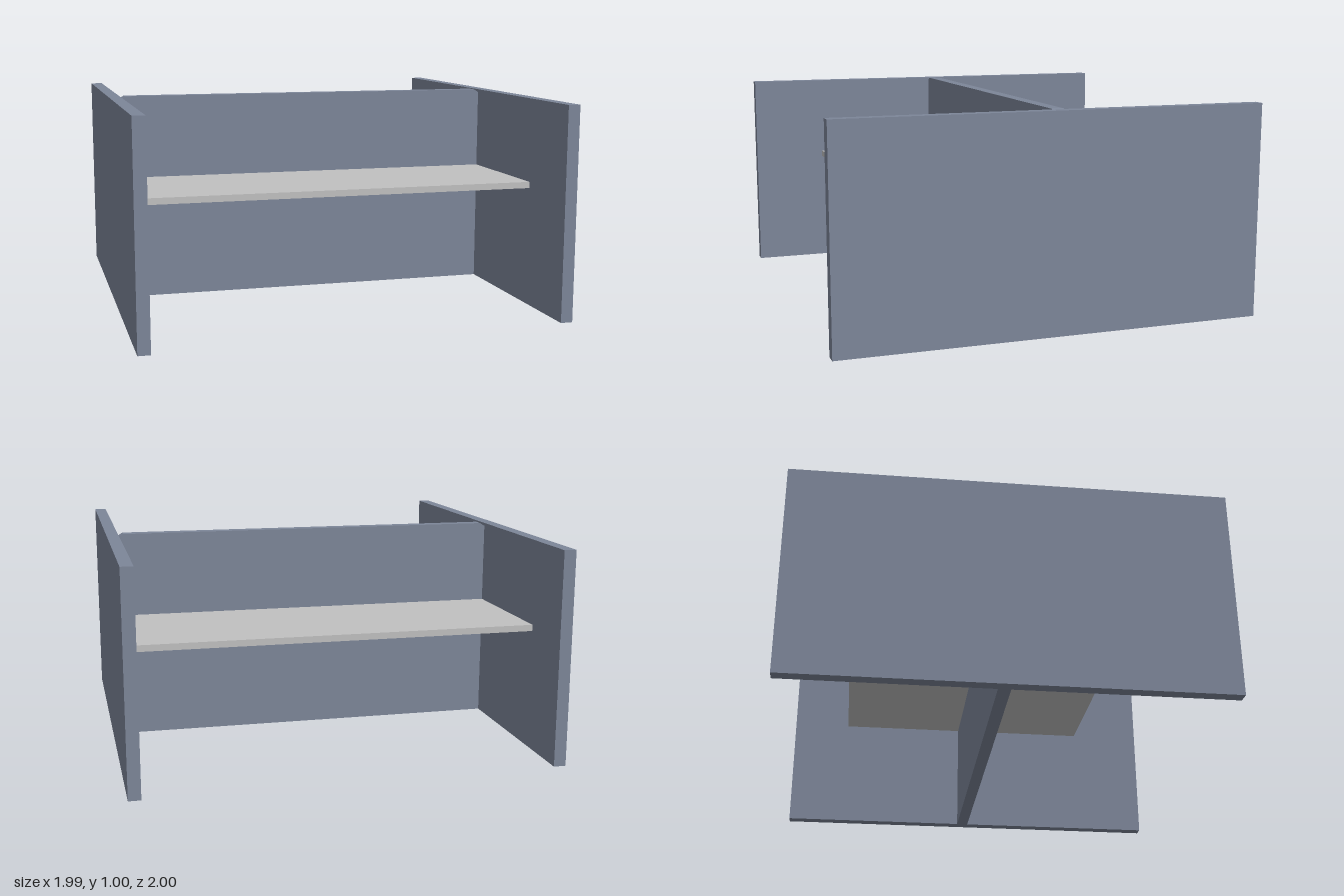
import * as THREE from 'three';

export function createModel() {
  const group = new THREE.Group();
  const slate = new THREE.MeshStandardMaterial({ color: 0x7d8699 });
  slate.name = 'slateBlue';
  const grey = new THREE.MeshStandardMaterial({ color: 0xc0c0c0 });
  grey.name = 'lightGrey';

  const add = (name, geometry, material, x, y, z) => {
    const mesh = new THREE.Mesh(geometry, material);
    mesh.name = name;
    mesh.position.set(x, y, z);
    group.add(mesh);
  };

  // Upright end panels
  for (const [name, side] of [['leftPanel', 1], ['rightPanel', -1]]) {
    add(name, new THREE.BoxGeometry(0.057, 1, 2), slate, side * 0.9665, 0.5, 0);
  }

  // Central divider with clipped upper corners
  const w = 0.938;
  const outline = new THREE.Shape([
    [-w, 0], [w, 0], [w, 0.985], [w - 0.024, 1], [-w + 0.024, 1], [-w, 0.985],
  ].map(([x, y]) => new THREE.Vector2(x, y)));
  add('divider', new THREE.ExtrudeGeometry(outline, { depth: 0.057, bevelEnabled: false }),
    slate, 0, 0, -0.057);

  // Worktop shelf, one board on each side of the divider
  for (const [name, z0, z1] of [['frontShelf', 0, 0.635], ['backShelf', -0.7, -0.057]]) {
    add(name, new THREE.BoxGeometry(2 * w, 0.03, z1 - z0), grey, 0, 0.585, (z0 + z1) / 2);
  }

  return group;
}
